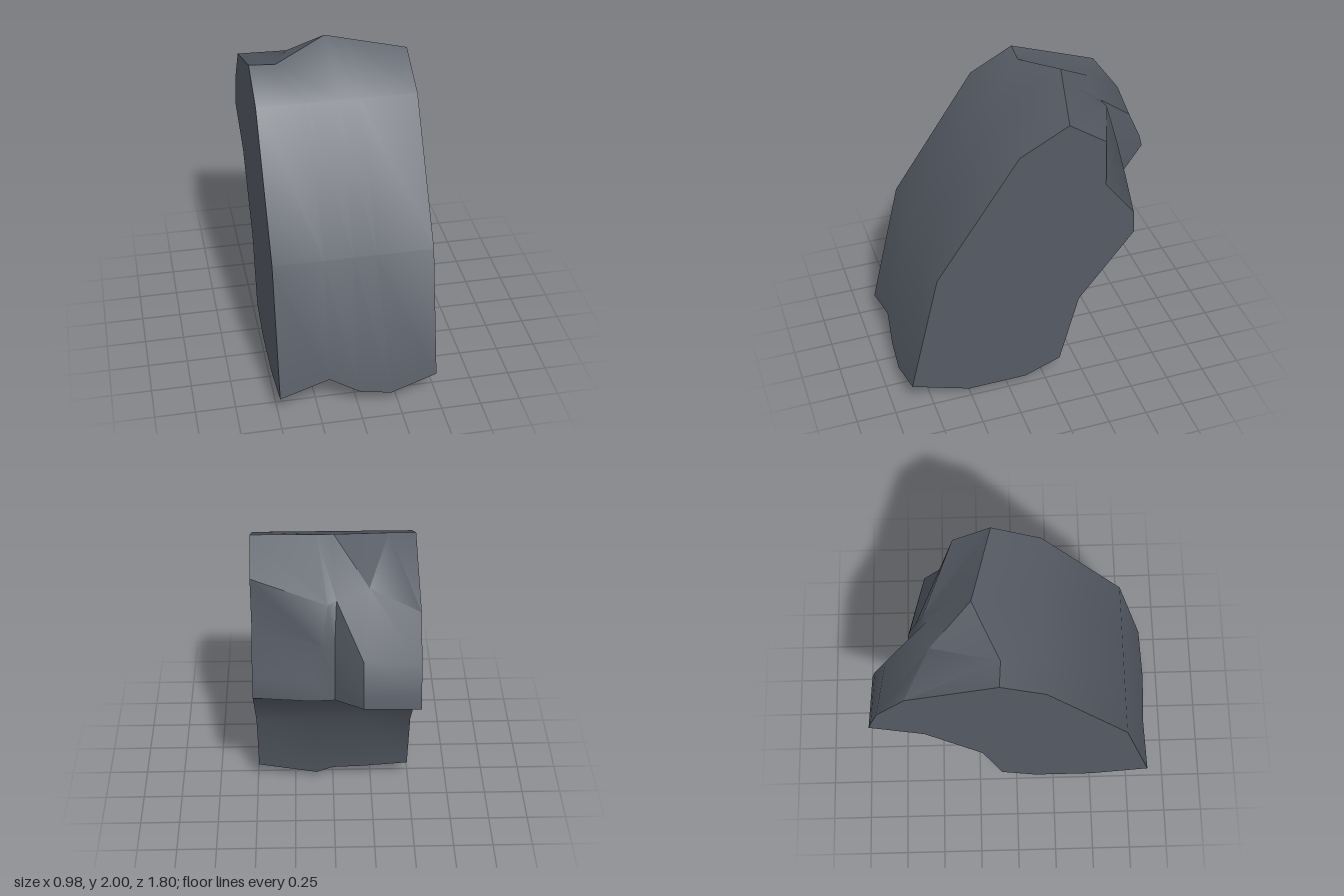
import * as THREE from 'three';
import { toCreasedNormals } from 'three/addons/utils/BufferGeometryUtils.js';

// Broken lower end: rows from front to back, five [x, y, z] points each from +x to -x
const lowerEnd = [
  [[0.49, 0.18, 0.88], [0.2, 0.09, 0.9], [0, 0.125, 0.89], [-0.18, 0.23, 0.87], [-0.49, 0.14, 0.89]],
  [[0.49, 0.05, 0.51], [0.2, 0.035, 0.51], [0, 0.04, 0.51], [-0.18, 0.13, 0.51], [-0.49, 0.05, 0.51]],
  [[0.49, 0.05, 0.32], [0.2, 0.025, 0.32], [-0.04, 0, 0.32], [-0.2, 0.06, 0.32], [-0.49, 0.05, 0.32]],
  [[0.49, 0.05, 0.13], [0.15, 0.03, 0.13], [0, 0.04, 0.13], [-0.2, 0.06, 0.13], [-0.49, 0.05, 0.13]],
  [[0.49, 0.14, -0.1], [0.11, 0.05, -0.08], [0, 0.1, -0.09], [-0.2, 0.11, -0.093], [-0.49, 0.14, -0.1]],
];

// Broken upper end: rows from back to front
const upperEnd = [
  [[0.49, 1.06, -0.57], [0.14, 1.11, -0.67], [0, 1.1, -0.65], [-0.16, 1.21, -0.88], [-0.49, 1.22, -0.9]],
  [[0.49, 1.21, -0.56], [0.13, 1.22, -0.65], [0, 1.22, -0.635], [-0.16, 1.29, -0.86], [-0.49, 1.3, -0.88]],
  [[0.49, 1.46, -0.37], [0.08, 1.46, -0.6], [0, 1.46, -0.59], [-0.16, 1.47, -0.78], [-0.49, 1.47, -0.83]],
  [[0.49, 1.77, -0.36], [0.04, 1.7, -0.54], [-0.01, 1.72, -0.52], [-0.2, 1.79, -0.5], [-0.49, 1.72, -0.65]],
  [[0.49, 1.93, -0.13], [0.1, 1.985, -0.225], [0, 2, -0.25], [-0.33, 1.91, -0.09], [-0.49, 1.915, -0.1]],
];

// Straight bend lines across the curved front and back
const bend = (y, z) => [0.49, 0.14, 0, -0.18, -0.49].map((x) => [x, y, z]);

// All lines in order around the block
const lines = [
  ...lowerEnd,
  bend(0.61, -0.22),
  bend(1.06, -0.57),
  ...upperEnd,
  bend(1.77, 0.17),
  bend(0.99, 0.69),
];

function blockGeometry() {
  const positions = [];
  const n = lines.length;
  const tri = (a, b, c) => positions.push(...a, ...b, ...c);

  // Skin around the block
  for (let i = 0; i < n; i++) {
    const p = lines[i], q = lines[(i + 1) % n];
    for (let c = 0; c < 4; c++) {
      tri(p[c], p[c + 1], q[c]);
      tri(q[c], p[c + 1], q[c + 1]);
    }
  }

  // Flat sides
  for (const c of [0, 4]) {
    // the +x profile meets its upper bend exactly, so drop the repeated point
    const ring = lines.map((l) => l[c]).filter((p, i, all) => i === 0 || Math.hypot(p[1] - all[i - 1][1], p[2] - all[i - 1][2]) > 1e-4);
    const outline = ring.map((p) => new THREE.Vector2(-p[2], p[1]));
    for (const [a, b, d] of THREE.ShapeUtils.triangulateShape(outline, [])) {
      if (c === 0) tri(ring[a], ring[b], ring[d]);
      else tri(ring[a], ring[d], ring[b]);
    }
  }

  const geometry = new THREE.BufferGeometry();
  geometry.setAttribute('position', new THREE.Float32BufferAttribute(positions, 3));
  return toCreasedNormals(geometry, 0.65);
}

export function createModel() {
  const group = new THREE.Group();
  group.name = 'brokenArchPiece';
  const stone = new THREE.MeshStandardMaterial({ color: 0x555a64 });
  stone.name = 'slateGrey';
  const block = new THREE.Mesh(blockGeometry(), stone);
  block.name = 'curvedStoneBlock';
  group.add(block);
  return group;
}
